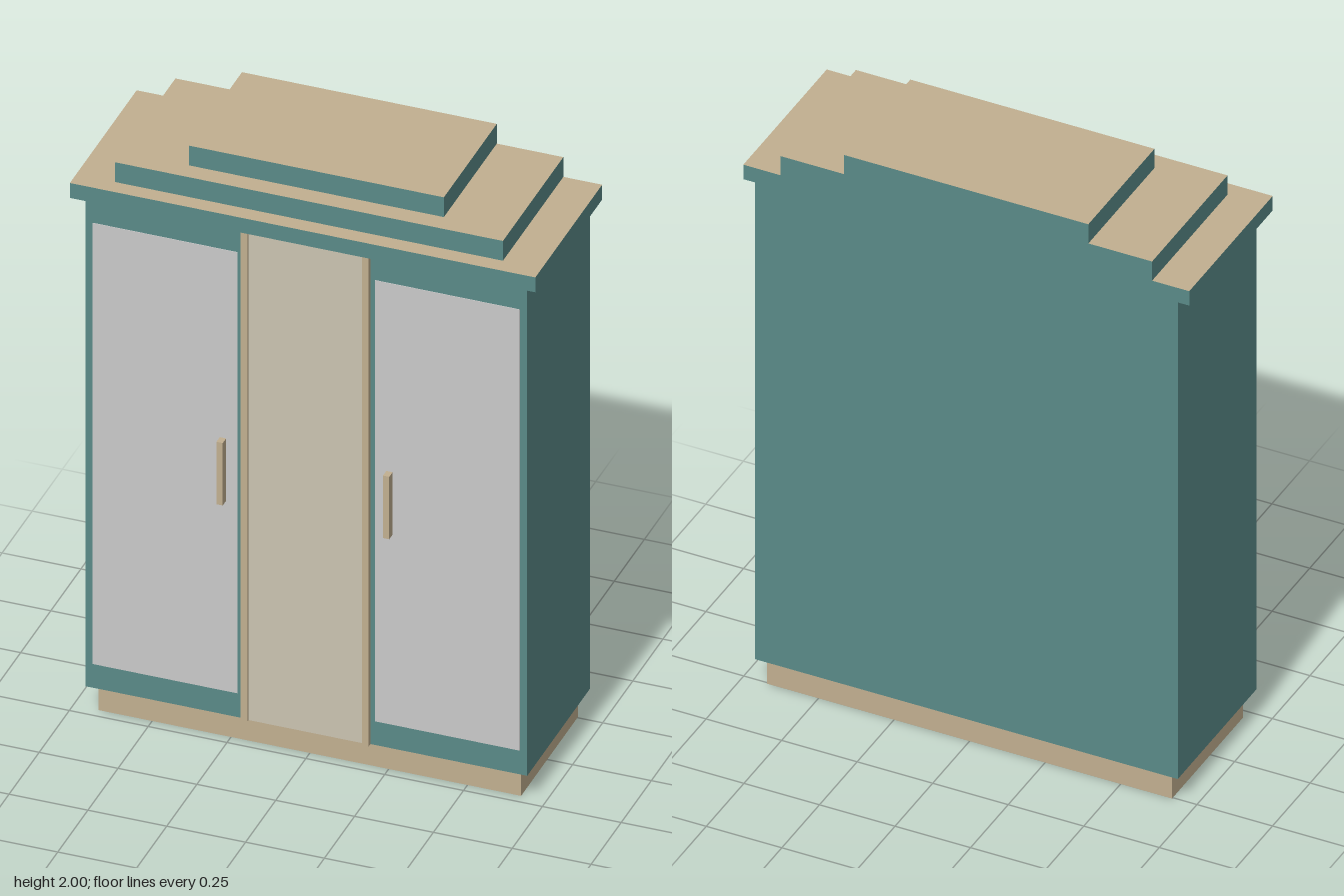
import * as THREE from 'three';

const mat = (name, color, side = THREE.FrontSide) => {
  const m = new THREE.MeshStandardMaterial({ color, side });
  m.name = name;
  return m;
};

export function createModel() {
  const root = new THREE.Group();
  root.name = 'wardrobe';
  const teal = mat('teal paint', 0x5a8a88);
  const tan = mat('tan wood', 0xc1af90, THREE.DoubleSide);
  const mirror = mat('mirror grey', 0xcacaca);
  const cream = mat('cream panel', 0xcbc4b1);

  // Box given by its minimum and maximum on each axis
  const box = (name, [x0, x1], [y0, y1], [z0, z1], material) => {
    const mesh = new THREE.Mesh(new THREE.BoxGeometry(x1 - x0, y1 - y0, z1 - z0), material);
    mesh.position.set((x0 + x1) / 2, (y0 + y1) / 2, (z0 + z1) / 2);
    mesh.name = name;
    root.add(mesh);
    return mesh;
  };

  // Plinth: four thin walls, open above and below
  const plinth = box('plinth', [-0.67, 0.67], [0, 0.093], [-0.255, 0.217], tan);
  const idx = Array.from(plinth.geometry.index.array);
  plinth.geometry.setIndex([...idx.slice(0, 12), ...idx.slice(24)]);
  plinth.geometry.clearGroups();

  // Cabinet body
  box('body', [-0.7, 0.7], [0.093, 1.81], [-0.277, 0.245], teal);

  // Stepped cornice: teal edges, tan tops and undersides
  const faces = [teal, teal, tan, tan, teal, teal];
  [[0.738, 1.81, 1.862, 0.277], [0.615, 1.862, 1.931, 0.224], [0.404, 1.931, 2, 0.162]]
    .forEach(([w, y0, y1, z], i) =>
      box('corniceStep' + (i + 1), [-w, w], [y0, y1], [-0.277, z], faces));

  // Centre panel between the doors
  box('centrePanel', [-0.184, 0.184], [0.093, 1.81], [0.244, 0.249], cream);

  // Trim, mirror and handle on each side
  for (const s of [-1, 1]) {
    const side = s > 0 ? 'left' : 'right';
    const span = (a, b) => (s > 0 ? [a, b] : [-b, -a]);
    box(side + 'Trim', span(0.182, 0.203), [0.093, 1.81], [0.244, 0.26], tan);
    box(side + 'Mirror', span(0.218, 0.677), [0.177, 1.718], [0.244, 0.247], mirror);
    box(side + 'Handle', span(0.254, 0.274), [0.842, 1.06], [0.244, 0.275], tan);
  }
  return root;
}
